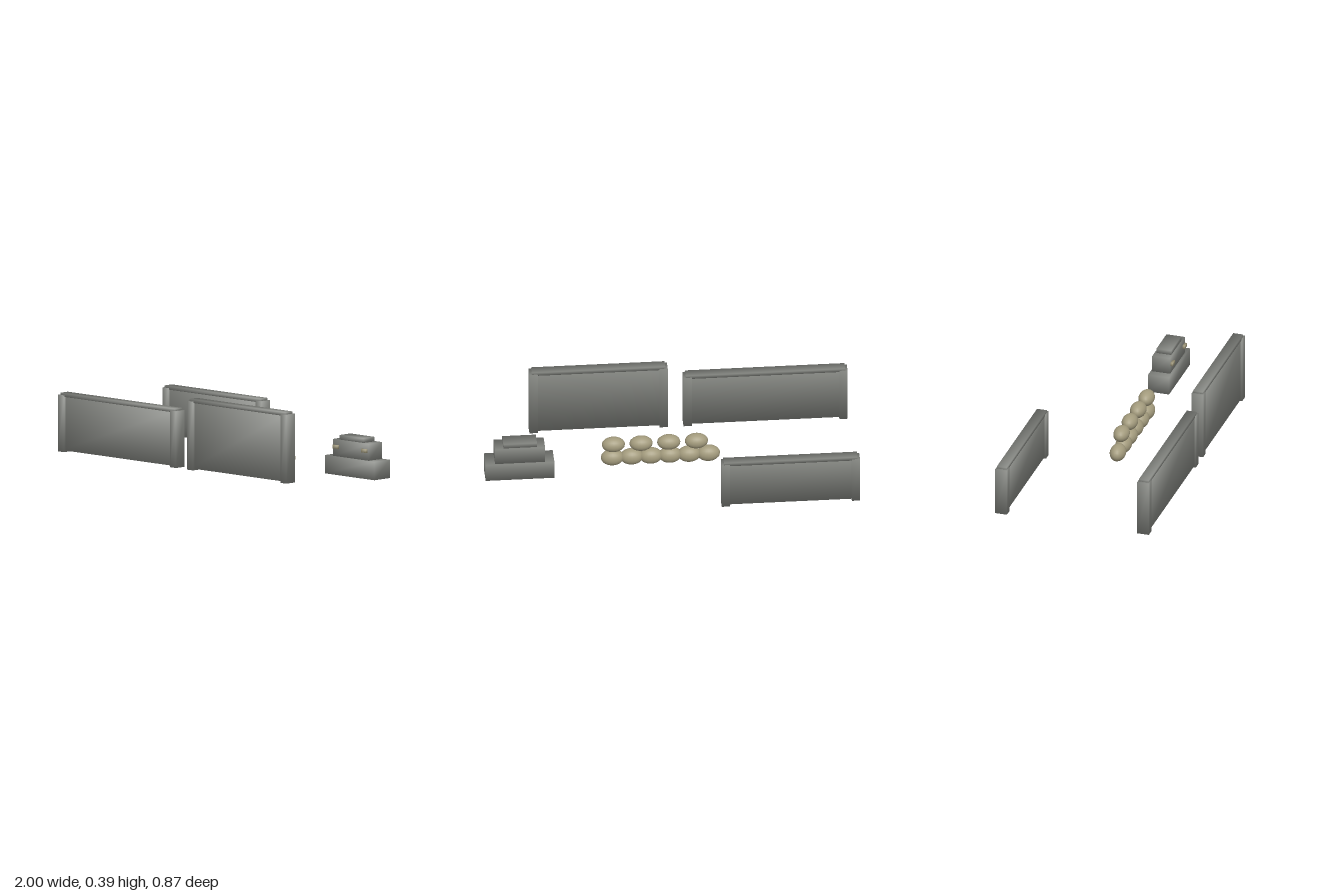
import * as THREE from 'three';

const concrete = new THREE.MeshStandardMaterial({ color: 0x838580 });
concrete.name = 'concrete grey';
const sand = new THREE.MeshStandardMaterial({ color: 0xa39b7d });
sand.name = 'sand beige';

// Box given by its limits, with normals blended across the corners
function softBox(name, material, [x0, x1], [y0, y1], [z0, z1]) {
  const geometry = new THREE.BoxGeometry(x1 - x0, y1 - y0, z1 - z0);
  const { position, normal } = geometry.attributes;
  const k = 1 / Math.sqrt(3);
  for (let i = 0; i < position.count; i++) {
    normal.setXYZ(i,
      Math.sign(position.getX(i)) * k,
      Math.sign(position.getY(i)) * k,
      Math.sign(position.getZ(i)) * k);
  }
  const mesh = new THREE.Mesh(geometry, material);
  mesh.name = name;
  mesh.position.set((x0 + x1) / 2, (y0 + y1) / 2, (z0 + z1) / 2);
  return mesh;
}

// Panel between two thicker posts, with a thin cap along the top
function createWall(name, x0, x1, z, height) {
  const wall = new THREE.Group();
  wall.name = name;
  const post = 0.045, top = height - 0.012;
  const across = (half) => [z - half, z + half];
  wall.add(
    softBox('panel', concrete, [x0 + 0.02, x1 - 0.02], [0.008, top - 0.002], across(0.024)),
    softBox('leftPost', concrete, [x1 - post, x1], [0, top], across(0.033)),
    softBox('rightPost', concrete, [x0, x0 + post], [0, top], across(0.033)),
    softBox('cap', concrete, [x0 + 0.013, x1 - 0.013], [top - 0.008, height], across(0.028)),
  );
  return wall;
}

// Row of overlapping rounded bags
function createBagRow(name, count, x0, x1, y, ry) {
  const row = new THREE.Group();
  row.name = name;
  const geometry = new THREE.SphereGeometry(1, 20, 14);
  for (let i = 0; i < count; i++) {
    const bag = new THREE.Mesh(geometry, sand);
    bag.name = 'sandbag';
    bag.scale.set(0.063, ry, 0.043);
    bag.position.set(x0 + (x1 - x0) * i / (count - 1), y, 0.013);
    row.add(bag);
  }
  return row;
}

// Three stepped blocks with two small openings on the front
function createBunker() {
  const bunker = new THREE.Group();
  bunker.name = 'bunker';
  bunker.add(
    softBox('base', concrete, [0.627, 1], [0.005, 0.105], [-0.083, 0.037]),
    softBox('chamber', concrete, [0.677, 0.948], [0.103, 0.197], [-0.074, 0.027]),
    softBox('roof', concrete, [0.72, 0.902], [0.195, 0.222], [-0.064, 0.02]),
  );
  for (const side of [-1, 1]) {
    const x = 0.812 + side * 0.108;
    bunker.add(softBox('slit', sand, [x - 0.019, x + 0.019], [0.148, 0.167], [0.025, 0.04]));
  }
  return bunker;
}

export function createModel() {
  const model = new THREE.Group();
  model.name = 'fortification';
  model.add(
    createWall('frontRightWall', -1, -0.11, 0.402, 0.321),
    createWall('frontLeftWall', -0.025, 0.725, 0.402, 0.387),
    createWall('backWall', -1, -0.25, -0.402, 0.277),
    createBagRow('lowerSandbags', 6, -0.215, 0.305, 0.058, 0.046),
    createBagRow('upperSandbags', 4, -0.15, 0.3, 0.14, 0.042),
    createBunker(),
  );
  return model;
}
